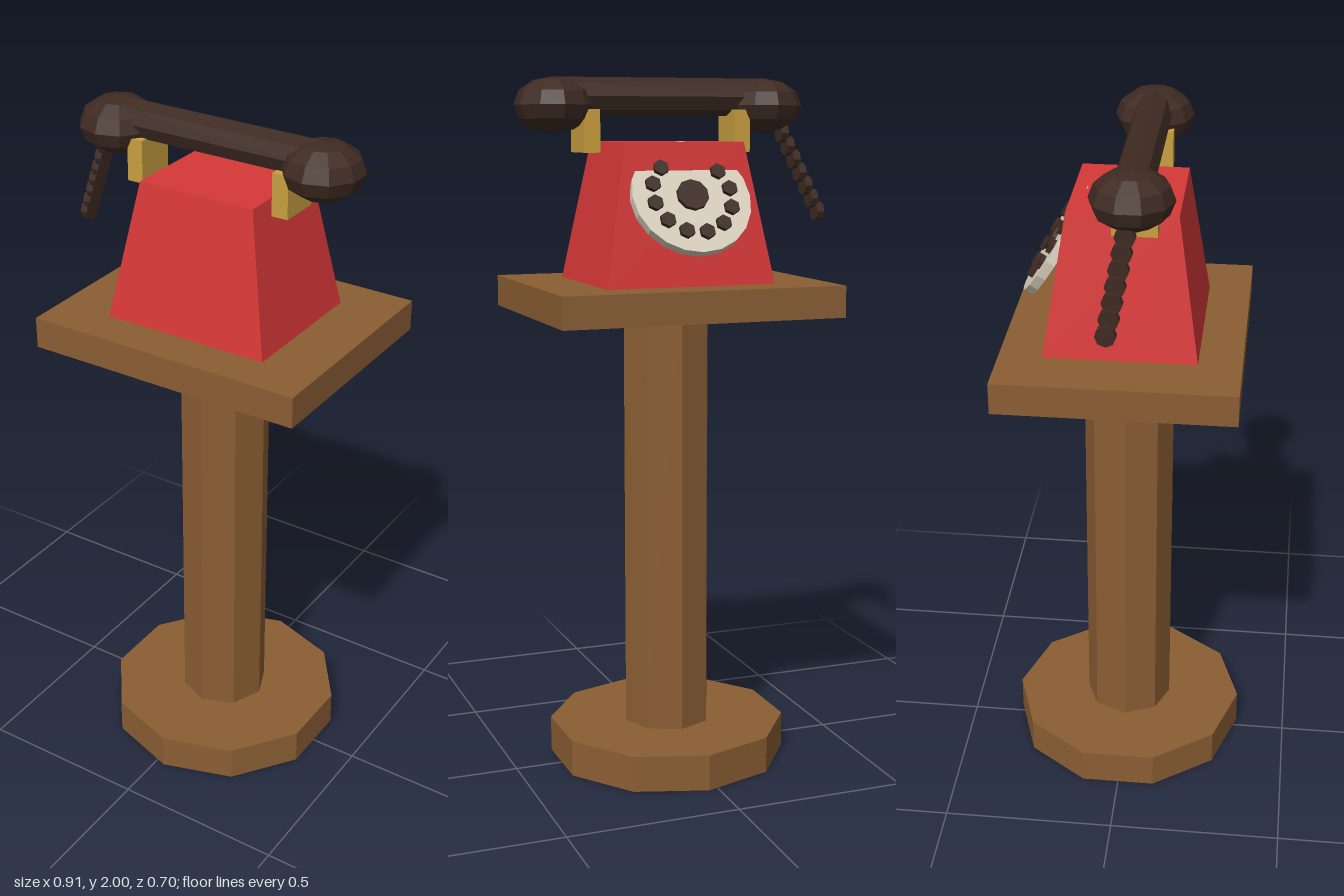
import * as THREE from 'three';

const material = (name, color) => {
  const m = new THREE.MeshStandardMaterial({ color, flatShading: true });
  m.name = name;
  return m;
};

export function createModel() {
  const wood = material('wood', 0x8b5e34);
  const red = material('red body', 0xd63838);
  const dark = material('dark brown', 0x3e2a22);
  const brass = material('brass', 0xc9a040);
  const ivory = material('ivory', 0xd9d0be);

  const model = new THREE.Group();
  model.name = 'telephoneOnStand';
  const phone = new THREE.Group();
  phone.name = 'standAndPhone';
  phone.position.x = 0.028;
  model.add(phone);

  const add = (parent, name, geometry, mat, x, y, z) => {
    const mesh = new THREE.Mesh(geometry, mat);
    mesh.name = name;
    mesh.position.set(x, y, z);
    parent.add(mesh);
    return mesh;
  };
  const cyl = (r, h, sides) => new THREE.CylinderGeometry(r, r, h, sides);

  // Wooden stand
  add(phone, 'standBase', cyl(0.35, 0.105, 10), wood, 0, 0.0525, 0);
  add(phone, 'standColumn', cyl(0.13, 1.23, 8), wood, 0, 0.72, 0);
  add(phone, 'standTop', new THREE.BoxGeometry(0.827, 0.09, 0.663), wood, 0, 1.38, 0);

  // Tapered body: a box whose upper corners are drawn in
  const body = new THREE.BoxGeometry(0.498, 0.395, 0.423);
  const p = body.attributes.position;
  for (let i = 0; i < p.count; i++) {
    if (p.getY(i) > 0) {
      p.setX(i, p.getX(i) * 0.708);
      p.setZ(i, p.getZ(i) * 0.712);
    }
  }
  body.computeVertexNormals();
  add(phone, 'body', body, red, 0, 1.6225, 0);

  // Cradle posts and handset ends, mirrored
  const ball = new THREE.SphereGeometry(0.112, 10, 6);
  ball.rotateY(Math.PI / 2);
  ball.scale(1, 0.695, 1);
  for (const [side, s] of [['left', 1], ['right', -1]]) {
    add(phone, side + 'CradlePost', new THREE.BoxGeometry(0.048, 0.12, 0.122), brass, s * 0.227, 1.85, 0.04);
    add(phone, side + 'HandsetEnd', ball, dark, s * 0.319, 1.922, 0.04);
  }

  // Handset bar
  const bar = cyl(0.0535, 0.638, 8);
  bar.rotateZ(Math.PI / 2);
  add(phone, 'handsetBar', bar, dark, 0, 1.9455, 0.04);

  // Cord: a slanting row of small discs
  const cord = new THREE.Group();
  cord.name = 'cord';
  model.add(cord);
  const link = cyl(0.028, 0.022, 8);
  link.rotateZ(Math.PI / 2);
  for (let i = 0; i < 8; i++) {
    add(cord, 'cordLink', link, dark, -0.446 + i * 0.0165, 1.615 + i * 0.038, -0.01 + i * 0.0065);
  }

  // Tilted dial on the back, its origin on the outer face
  const dial = new THREE.Group();
  dial.name = 'dial';
  dial.position.set(0, 1.6745, -0.2045);
  dial.rotation.x = 0.55 - Math.PI / 2;
  phone.add(dial);
  add(dial, 'dialPlate', cyl(0.173, 0.026, 20), ivory, 0, -0.013, 0);
  add(dial, 'dialHub', cyl(0.046, 0.02, 10), dark, 0, 0.002, 0);
  for (let i = 0; i < 10; i++) {
    const a = THREE.MathUtils.degToRad(4.5 + (i - 4.5) * 29.7);
    add(dial, 'dialButton', cyl(0.023, 0.02, 6), dark, 0.115 * Math.sin(a), 0.002, -0.115 * Math.cos(a));
  }

  return model;
}
